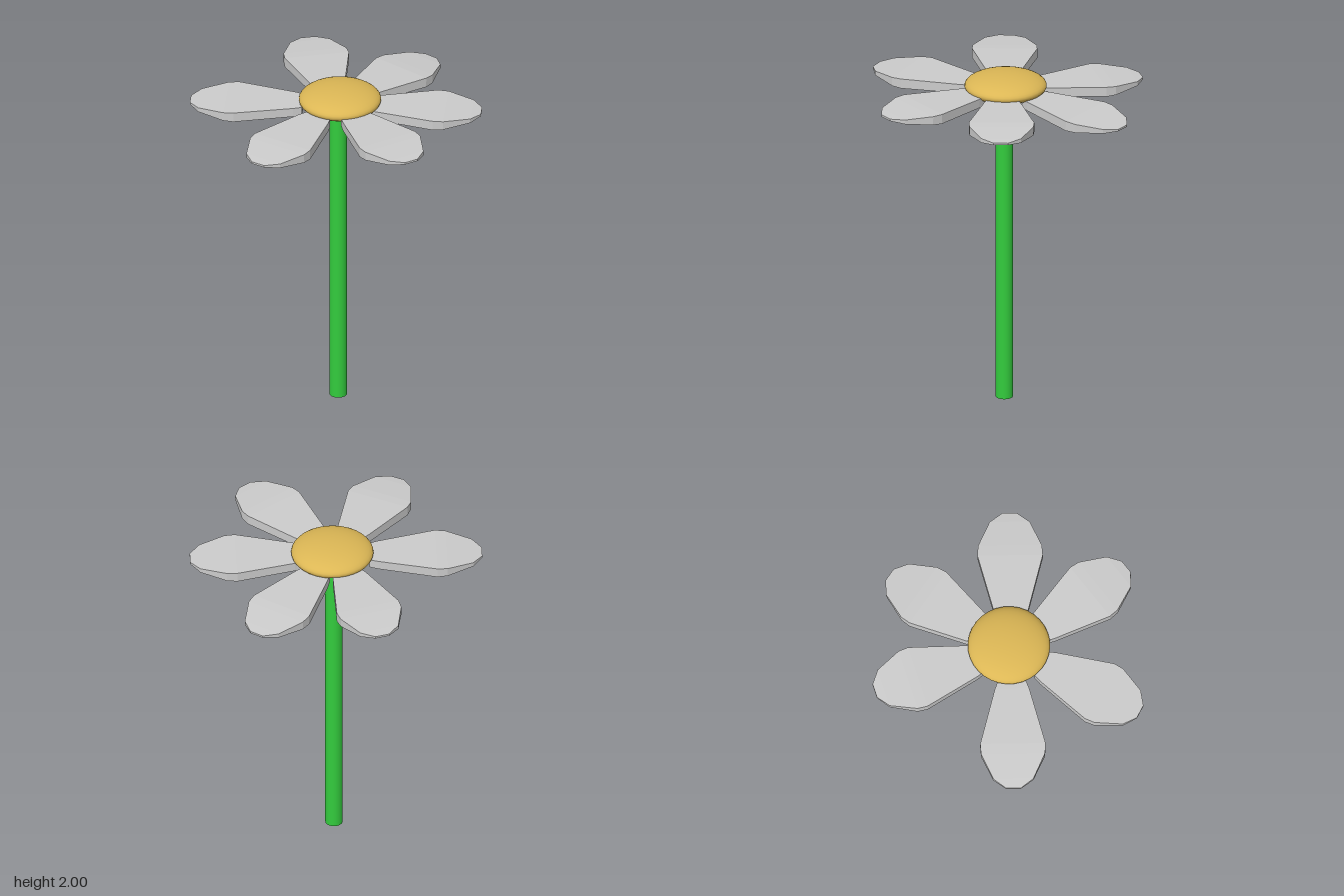
import * as THREE from 'three';

const material = (color, flatShading = false) =>
  new THREE.MeshStandardMaterial({ color, flatShading });

// Petal: rectangular cross-sections [distance, half width, half thickness] joined along x
function petalGeometry() {
  const sections = [
    [0.19, 0.08, 0.026], [0.24, 0.099, 0.027], [0.575, 0.188, 0.029], [0.635, 0.184, 0.026],
    [0.785, 0.115, 0.013], [0.84, 0.042, 0.006],
  ];
  const positions = [];
  const index = [];
  for (const [x, w, h] of sections) {
    positions.push(x, h, -w, x, h, w, x, -h, w, x, -h, -w);
  }
  const quad = (a, b, c, d) => index.push(a, b, c, a, c, d);
  for (let i = 0; i < sections.length - 1; i++) {
    for (let j = 0; j < 4; j++) {
      const a = i * 4 + j;
      const b = i * 4 + ((j + 1) % 4);
      quad(a, b, b + 4, a + 4);
    }
  }
  const e = (sections.length - 1) * 4;
  quad(3, 2, 1, 0);
  quad(e, e + 1, e + 2, e + 3);
  const geometry = new THREE.BufferGeometry();
  geometry.setAttribute('position', new THREE.Float32BufferAttribute(positions, 3));
  geometry.setIndex(index);
  const flat = geometry.toNonIndexed();
  flat.computeVertexNormals();
  return flat;
}

export function createModel() {
  const flower = new THREE.Group();
  flower.name = 'flower';

  // Stem
  const stem = new THREE.Mesh(new THREE.CylinderGeometry(0.05, 0.05, 1.9, 32), material(0x33cc3d));
  stem.name = 'stem';
  stem.position.set(0.01, 0.95, -0.01);
  flower.add(stem);

  // Flattened round centre
  const centre = new THREE.Mesh(new THREE.SphereGeometry(0.237, 32, 20), material(0xdcb755));
  centre.name = 'flowerCentre';
  centre.scale.y = 0.07 / 0.237;
  centre.position.set(0.017, 1.93, -0.02);
  flower.add(centre);

  // Petals: [angle, tilt, length scale], slightly irregular around the centre
  const petals = new THREE.Group();
  petals.name = 'petals';
  const geometry = petalGeometry();
  const grey = material(0xcccccc, true);
  const layout = [
    [15.5, 0.4, 1], [70.5, -2.2, 1.01], [122, 0.2, 0.98],
    [195.5, 0, 1], [258, 0, 0.985], [322.2, 1.8, 0.99],
  ];
  layout.forEach(([angle, tilt, length], i) => {
    const petal = new THREE.Mesh(geometry, grey);
    petal.name = `petal${i + 1}`;
    petal.position.y = 1.889;
    petal.rotation.set(0, THREE.MathUtils.degToRad(angle), THREE.MathUtils.degToRad(tilt));
    petal.scale.x = length;
    petals.add(petal);
  });
  flower.add(petals);

  return flower;
}
